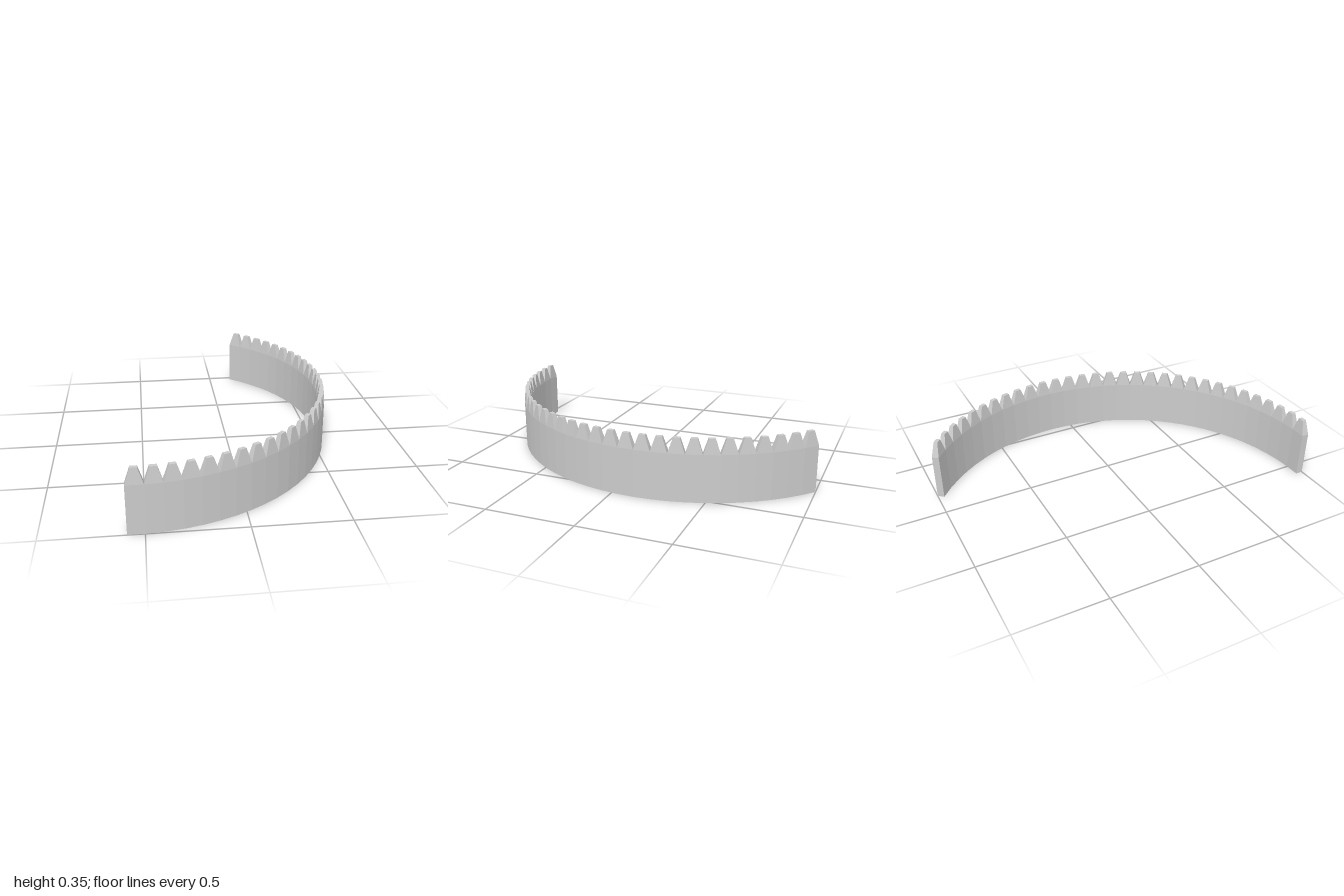
import * as THREE from 'three';

// Arc of the wall, angles measured from +z towards +x
const CX = -0.54, CZ = -0.125;
const R_OUT = 1.125, R_IN = 1.085;
const COUNT = 31;
const STEP = THREE.MathUtils.degToRad(4.624);
const H_BODY = 0.262, H_TOP = 0.346;
const TIP_HALF = 0.0155;  // half-angle of a tooth tip, radians
const TIP_INSET = 0.009;  // how far the tooth faces lean in

const point = (r, a, y) => [CX + r * Math.sin(a), y, CZ + r * Math.cos(a)];

// Four corners at one height: outer start, outer end, inner end, inner start
const ring = (centre, half, rOut, rIn, y) => [
  point(rOut, centre - half, y), point(rOut, centre + half, y),
  point(rIn, centre + half, y), point(rIn, centre - half, y),
];

// Quad with corners counter-clockwise as seen from its front
const quad = (out, a, b, c, d) => out.push(...a, ...b, ...c, ...a, ...c, ...d);

// Walls between a lower and an upper ring, for the listed sides
function walls(out, low, high, sides) {
  for (const i of sides) {
    const j = (i + 1) % 4;
    quad(out, low[i], low[j], high[j], high[i]);
  }
}

function meshFrom(positions, material, name) {
  const geometry = new THREE.BufferGeometry();
  geometry.setAttribute('position', new THREE.Float32BufferAttribute(positions, 3));
  geometry.computeVertexNormals();
  const mesh = new THREE.Mesh(geometry, material);
  mesh.name = name;
  return mesh;
}

export function createModel() {
  const group = new THREE.Group();
  group.name = 'toothedArcWall';
  const material = new THREE.MeshStandardMaterial({ color: 0xcccccc, flatShading: true });
  const teeth = new THREE.Group();
  teeth.name = 'teeth';
  const body = [];

  for (let k = 0; k < COUNT; k++) {
    const a = k * STEP;
    const base = ring(a, STEP / 2, R_OUT, R_IN, 0);
    const shoulder = ring(a, STEP / 2, R_OUT, R_IN, H_BODY);
    const tip = ring(a, TIP_HALF, R_OUT - TIP_INSET, R_IN + TIP_INSET, H_TOP);

    // Wall segment: outer and inner faces, underside, and caps at both ends
    const sides = [0, 2];
    if (k === 0) sides.push(3);
    if (k === COUNT - 1) sides.push(1);
    walls(body, base, shoulder, sides);
    quad(body, base[3], base[2], base[1], base[0]);

    // Tapered tooth with a flat tip
    const tooth = [];
    walls(tooth, shoulder, tip, [0, 1, 2, 3]);
    quad(tooth, ...tip);
    teeth.add(meshFrom(tooth, material, `tooth${k + 1}`));
  }

  group.add(meshFrom(body, material, 'curvedWall'), teeth);
  return group;
}
